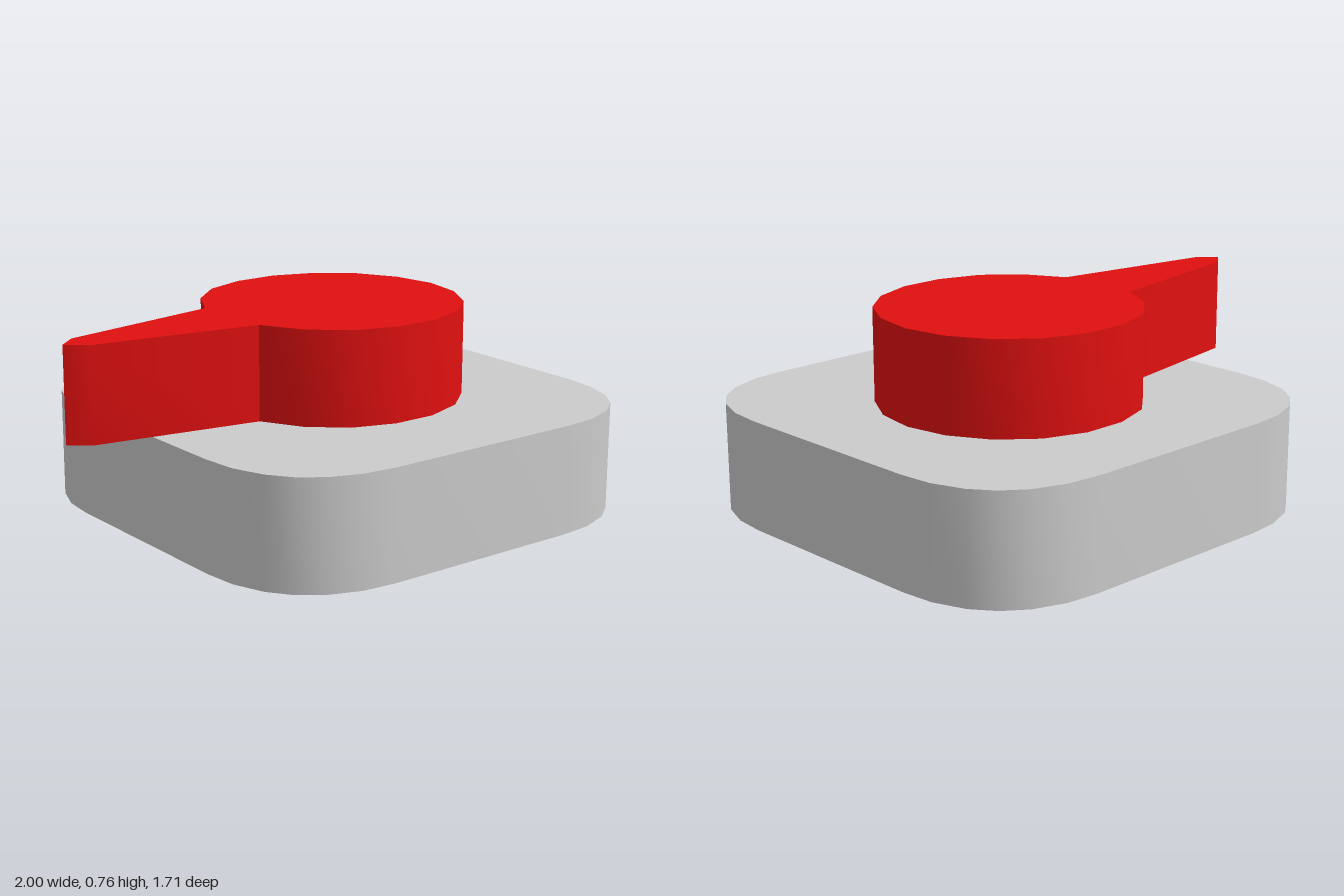
import * as THREE from 'three';
import { toCreasedNormals } from 'three/addons/utils/BufferGeometryUtils.js';

// Upright prism from a plan outline of [x, z] points, smooth around gentle bends
function prism(name, outline, y0, y1, color) {
  const shape = new THREE.Shape(outline.map(([x, z]) => new THREE.Vector2(x, -z)));
  let geometry = new THREE.ExtrudeGeometry(shape, { depth: y1 - y0, bevelEnabled: false });
  geometry.rotateX(-Math.PI / 2).translate(0, y0, 0);
  geometry = toCreasedNormals(geometry, 0.6);
  const mesh = new THREE.Mesh(geometry, new THREE.MeshStandardMaterial({ color }));
  mesh.name = name;
  return mesh;
}

export function createModel() {
  const group = new THREE.Group();
  group.name = 'pointerKnob';

  // Base plate: one rounded corner turned round the four quarters
  const corner = [[0.855, 0.4], [0.842, 0.53], [0.798, 0.65], [0.735, 0.735],
    [0.65, 0.798], [0.53, 0.842], [0.4, 0.855]];
  const plate = [];
  for (let q = 0; q < 4; q++) {
    for (const [x, z] of corner) {
      const [rx, rz] = [[x, z], [-z, x], [-x, -z], [z, -x]][q];
      plate.push([rx + 0.145, rz]);
    }
  }
  group.add(prism('basePlate', plate, 0, 0.41, 0xcccccc));

  // Round knob with a tapering pointer: half outline mirrored across its axis
  const axisZ = -0.025;
  const half = [[-0.93, 0.06], [-0.3, 0.168], [-0.217, 0.318], [-0.09, 0.43],
    [0.073, 0.485], [0.245, 0.485], [0.408, 0.427], [0.537, 0.318], [0.622, 0.168]];
  const knob = [
    [-1, axisZ],
    ...half.map(([x, d]) => [x, axisZ + d]),
    [0.652, axisZ],
    ...half.map(([x, d]) => [x, axisZ - d]).reverse(),
  ];
  group.add(prism('knobWithPointer', knob, 0.41, 0.765, 0xe01010));

  return group;
}
